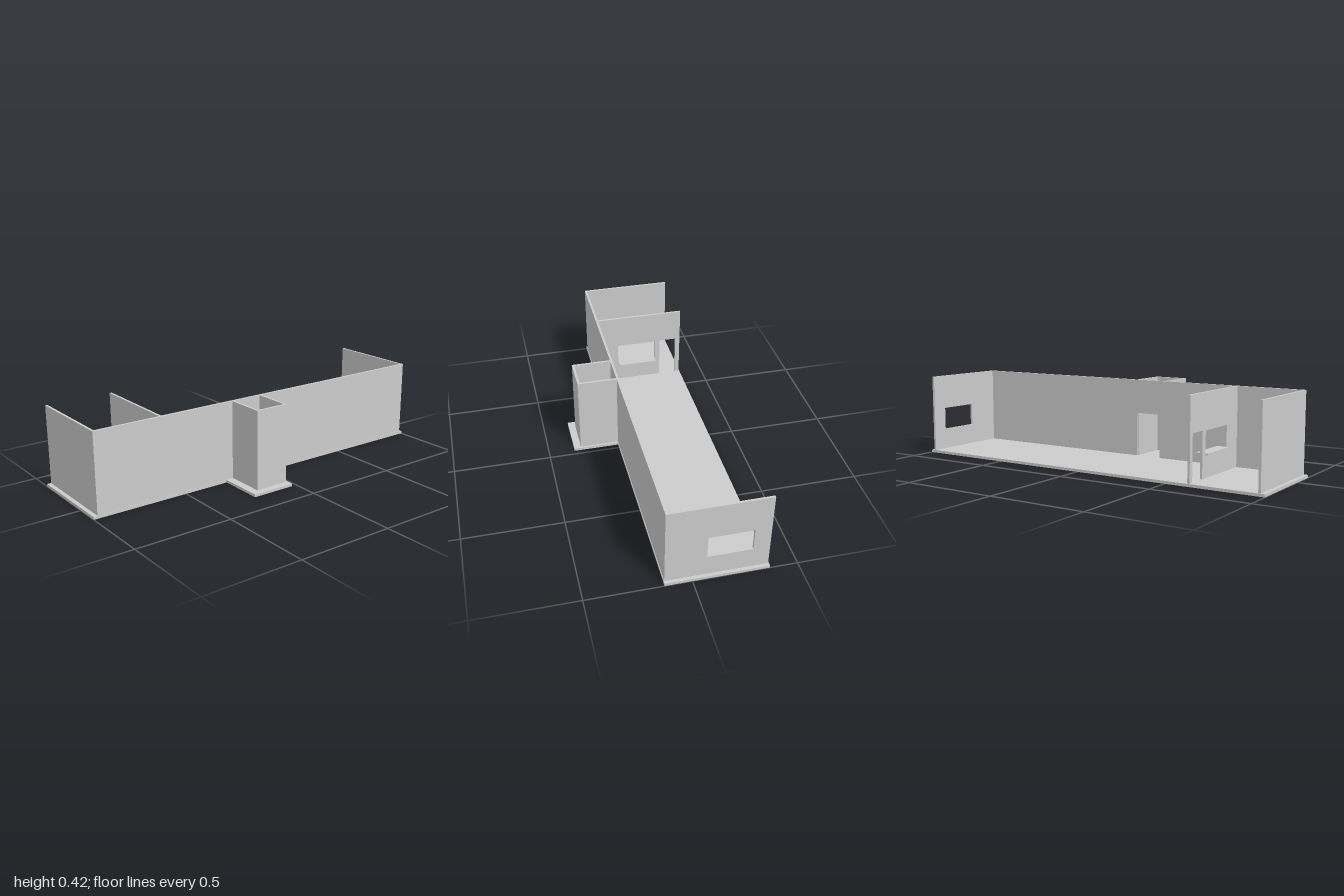
import * as THREE from 'three';

const FLOOR = 0.014, TOP = 0.42, T = 0.012;
const DOOR_TOP = 0.243, WIN_LOW = 0.122, WIN_HIGH = 0.24;

export function createModel() {
  const model = new THREE.Group();
  const material = new THREE.MeshStandardMaterial({ color: 0xcccccc, flatShading: true });

  const add = (name, geometry) => {
    const mesh = new THREE.Mesh(geometry, material);
    mesh.name = name;
    model.add(mesh);
    return mesh;
  };

  // Box given by its min and max corners
  const block = (name, x0, x1, y0, y1, z0, z1) =>
    add(name, new THREE.BoxGeometry(x1 - x0, y1 - y0, z1 - z0))
      .position.set((x0 + x1) / 2, (y0 + y1) / 2, (z0 + z1) / 2);

  // Upright wall from a to b; a door is a notch in the outline, a window is a hole
  const wall = (name, a, b, { door, window } = {}) => {
    const outline = [[a, FLOOR]];
    if (door) outline.push([door[0], FLOOR], [door[0], DOOR_TOP], [door[1], DOOR_TOP], [door[1], FLOOR]);
    outline.push([b, FLOOR], [b, TOP], [a, TOP]);
    const shape = new THREE.Shape(outline.map(p => new THREE.Vector2(...p)));
    if (window) {
      const [l, r] = window;
      shape.holes.push(new THREE.Path([[l, WIN_LOW], [l, WIN_HIGH], [r, WIN_HIGH], [r, WIN_LOW]]
        .map(p => new THREE.Vector2(...p))));
    }
    return add(name, new THREE.ExtrudeGeometry(shape, { depth: T, bevelEnabled: false }));
  };

  // Floor slabs
  block('mainFloor', -0.366, 0.13, 0, FLOOR, -1, 1);
  block('annexFloor', 0.13, 0.366, 0, FLOOR, 0.026, 0.258);

  // Cross walls of the long room
  wall('frontWall', -0.362, 0.1155, {}).position.z = 0.967;
  wall('partitionWall', -0.362, 0.1155, { door: [-0.337, -0.242], window: [-0.212, 0.004] }).position.z = 0.617;
  wall('backWall', -0.362, 0.1155, { window: [-0.283, -0.068] }).position.z = -0.983;

  // Long wall: drawn along -z, then turned to run down the side
  const side = wall('sideWall', -0.979, 0.983, { door: [-0.185, -0.045] });
  side.rotation.y = Math.PI / 2;
  side.position.x = 0.1155;

  // Sill through the partition window
  block('windowSill', -0.212, 0.004, WIN_LOW, WIN_LOW + 0.01, 0.578, 0.64);

  // Small annex closed on three sides
  block('annexBackWall', 0.1275, 0.33, FLOOR, TOP, 0.036, 0.036 + T);
  block('annexFrontWall', 0.1275, 0.33, FLOOR, TOP, 0.217 - T, 0.217);
  block('annexEndWall', 0.33 - T, 0.33, FLOOR, TOP, 0.036 + T, 0.217 - T);

  return model;
}
